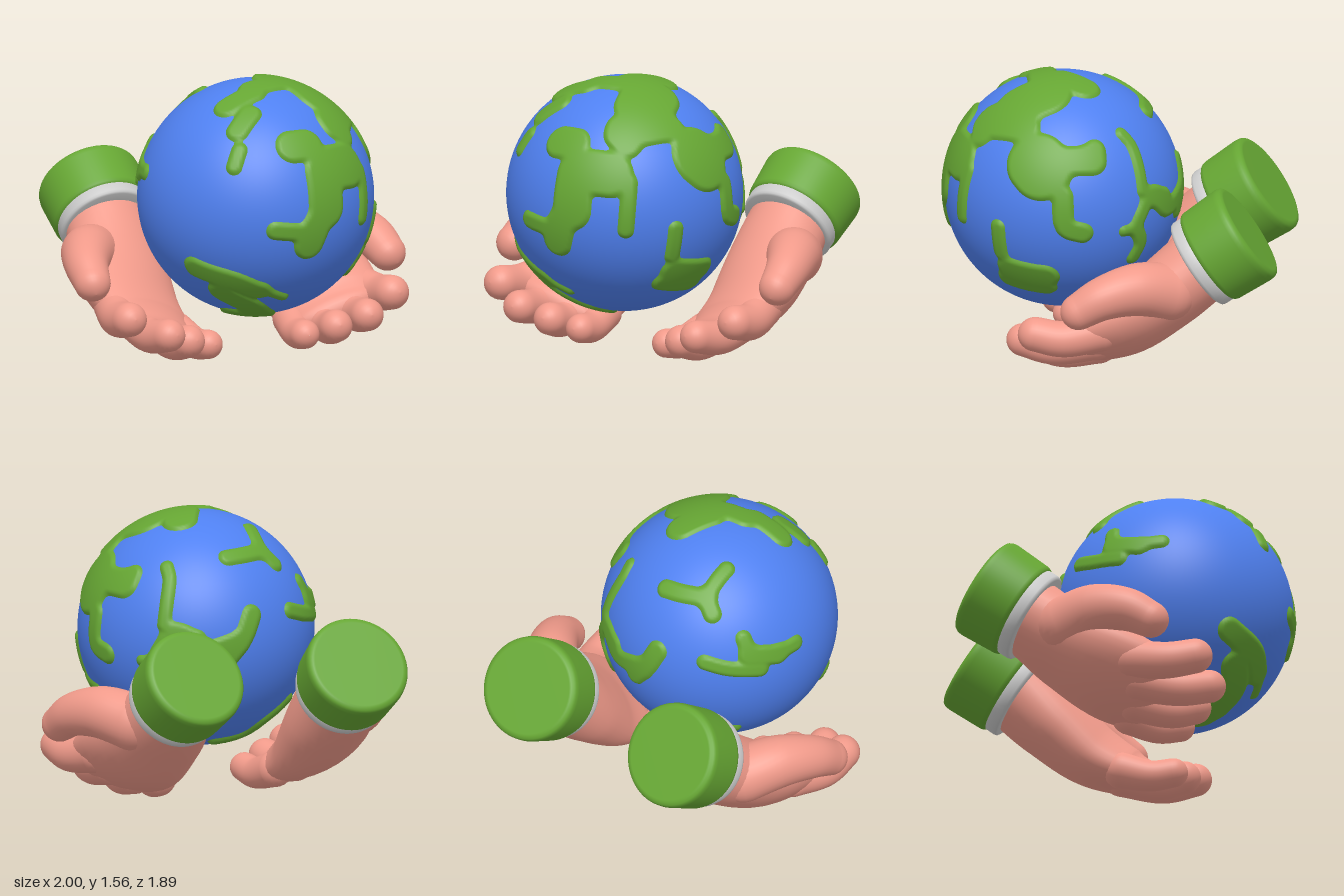
import * as THREE from 'three';
import { mergeVertices } from 'three/addons/utils/BufferGeometryUtils.js';

const mat = (color) => new THREE.MeshStandardMaterial({ color });
const GREEN = mat(0x66a633), BLUE = mat(0x4f80f0), SKIN = mat(0xf09a8a), GREY = mat(0xcccccc);

function add(parent, name, geometry, material) {
  const mesh = new THREE.Mesh(geometry, material);
  mesh.name = name;
  parent.add(mesh);
}

// Brush strokes laid on the unit sphere around one direction.
// Each stroke is [halfWidth, x, y, x, y, ...] in hundredths of the globe radius.
function brush(azimuth, elevation, strokes) {
  const a = THREE.MathUtils.degToRad(azimuth), e = THREE.MathUtils.degToRad(elevation);
  const out = new THREE.Vector3(Math.sin(a) * Math.cos(e), Math.sin(e), Math.cos(a) * Math.cos(e));
  const right = new THREE.Vector3(Math.cos(a), 0, -Math.sin(a));
  const up = out.clone().cross(right);
  return strokes.map(([width, ...flat]) => {
    const pts = [];
    for (let i = 0; i < flat.length; i += 2) {
      const x = flat[i] / 100, y = flat[i + 1] / 100, z = Math.sqrt(Math.max(0, 1 - x * x - y * y));
      pts.push(new THREE.Vector3().addScaledVector(right, x).addScaledVector(up, y).addScaledVector(out, z));
    }
    const line = new THREE.CatmullRomCurve3(pts).getPoints((pts.length - 1) * 4);
    return { width: width / 100, line: line.map((p) => p.normalize()) };
  });
}

// Depth inside a stroke: positive on land, negative at sea
function strokeDepth(p, { width, line }) {
  let best = 4;
  for (let i = 0; i < line.length - 1; i++) {
    const a = line[i], b = line[i + 1];
    const ex = b.x - a.x, ey = b.y - a.y, ez = b.z - a.z;
    const dx = p.x - a.x, dy = p.y - a.y, dz = p.z - a.z;
    const t = THREE.MathUtils.clamp((dx * ex + dy * ey + dz * ez) / (ex * ex + ey * ey + ez * ez), 0, 1);
    best = Math.min(best, (dx - t * ex) ** 2 + (dy - t * ey) ** 2 + (dz - t * ez) ** 2);
  }
  return width - Math.sqrt(best);
}

// Union that rounds the inner corners where strokes meet
function blend(a, b) {
  const k = 0.05, h = Math.max(k - Math.abs(a - b), 0) / k;
  return Math.max(a, b) + (h * h * k) / 4;
}

// Raised land: a sphere pushed out under the strokes, with the sunken faces removed
function landGeometry() {
  const front = brush(0, 0, [
    [7, -56, 43, -49, 56], [10, -45, 70, -30, 82], [15, -6, 58, 8, 58], [18, 18, 6, 18, 36],
    [14, 2, -24, 8, -8], [8, -29, -10, -5, -13], [20, 30, 38, 46, 37], [7, 61, -10, 61, 30], [13, 42, 66, 50, 60],
    [11, -78, -47, -52, -57, -32, -66], [5, -30, -64, -8, -74], [13, -55, -69, -32, -82, -14, -93],
  ]);
  const side = brush(90, 0, [
    [14, -56, 67, -25, 70], [27, -8, 42, -12, 46], [13, 10, 48, 34, 48], [9, 28, 50, 36, 56],
    [9, 11, 20, 14, -6, 28, -12],
    [7, -45, -11, -43, -35], [13, -35, -50, -6, -54], [10, -38, -61, -6, -66],
    [6, 56, 64, 64, 55, 72, 35, 75, 18], [9, 81, 12, 91, 6], [7, 77, 5, 71, -12, 73, -28, 67, -41], [5, 61, -14, 70, -13],
  ]);
  const top = brush(0, 90, [
    [12, -42, -30, -18, -28], [13, -12, -20, 10, -16], [15, 12, -2, 24, 20], [26, 38, -14, 44, -30], [16, 42, -56, 55, -28],
  ]);
  const back = brush(213, 26, [
    [8, -41, 38, -28, 36, -6, 34], [8, -6, 34, 0, 21], [7, -4, 38, 4, 50, 10, 57],
    [7, 27, 1, 32, -12], [9, 32, -14, 56, -14], [7, 56, -13, 70, -6], [7, -5, -21, 15, -26, 42, -27],
    [9, -46, -15, -55, -30, -66, -42], [9, -60, -32, -82, -28, -90, -10],
  ]);
  const under = [...brush(147, -26, [[7, 22, -67, 45, -67, 62, -55, 80, -45]]), ...brush(0, -90, [[16, -25, 17, -10, 22]])];
  const strokes = [...front, ...side, ...top, ...back, ...under];

  let geo = new THREE.SphereGeometry(1, 300, 170);
  geo.deleteAttribute('uv');
  geo.deleteAttribute('normal');
  geo = mergeVertices(geo, 1e-5);
  const pos = geo.attributes.position, p = new THREE.Vector3(), depth = [];
  for (let i = 0; i < pos.count; i++) {
    p.fromBufferAttribute(pos, i).normalize();
    const d = strokes.reduce((sum, s) => blend(sum, strokeDepth(p, s)), -4);
    depth.push(d);
    p.multiplyScalar(0.631 + 0.031 * THREE.MathUtils.smoothstep(d, -0.035, 0.035));
    pos.setXYZ(i, p.x, p.y, p.z);
  }
  geo.computeVertexNormals();
  const old = geo.index.array, kept = [];
  for (let i = 0; i < old.length; i += 3) {
    const tri = [old[i], old[i + 1], old[i + 2]];
    if (tri.some((v) => depth[v] > -0.01)) kept.push(...tri);
  }
  geo.setIndex(kept);
  return geo;
}

// Smooth round-ended loft through stations [x, y, z, halfWidth, halfThickness, tilt]
function loft(stations, side) {
  const path = new THREE.CatmullRomCurve3(stations.map((s) => new THREE.Vector3(s[0] * side, s[1], s[2])));
  const sizes = new THREE.CatmullRomCurve3(stations.map((s) => new THREE.Vector3(s[3], s[4] ?? s[3], s[5] ?? 0)));
  const steps = 24, caps = 7, around = 32, rings = [];
  const ring = (t, angle, sign) => rings.push({ t, push: sign * Math.sin(angle), scale: Math.max(0.002, Math.cos(angle)) });
  for (let k = caps; k > 0; k--) ring(0, (k / caps) * Math.PI / 2, -1);
  for (let i = 0; i <= steps; i++) ring(i / steps, 0, 1);
  for (let k = 1; k <= caps; k++) ring(1, (k / caps) * Math.PI / 2, 1);
  const verts = [], index = [];
  rings.forEach(({ t, push, scale }, i) => {
    const T = path.getTangent(t), size = sizes.getPoint(t);
    const w = new THREE.Vector3(Math.cos(size.z), side * Math.sin(size.z), 0);
    w.addScaledVector(T, -w.dot(T)).normalize();
    const n = T.clone().cross(w);
    const c = path.getPoint(t).addScaledVector(T, push * Math.min(size.x, size.y));
    for (let j = 0; j < around; j++) {
      const q = (j / around) * Math.PI * 2;
      const v = c.clone().addScaledVector(w, Math.cos(q) * size.x * scale).addScaledVector(n, Math.sin(q) * size.y * scale);
      verts.push(v.x, v.y, v.z);
      if (i === rings.length - 1) continue;
      const a = i * around + j, b = i * around + ((j + 1) % around);
      index.push(a, b, a + around, b, b + around, a + around);
    }
  });
  const geo = new THREE.BufferGeometry();
  geo.setAttribute('position', new THREE.Float32BufferAttribute(verts, 3));
  geo.setIndex(index);
  geo.computeVertexNormals();
  return geo;
}

const lathe = (points) => new THREE.LatheGeometry(points.map(([r, y]) => new THREE.Vector2(r, y)), 64);

const HAND = {
  palm: [[0.5, 0.64, -0.53, 0.235, 0.21, 0.2], [0.52, 0.47, -0.34, 0.28, 0.2, 0.4], [0.555, 0.31, -0.12, 0.31, 0.175, 0.5],
    [0.55, 0.215, 0.08, 0.3, 0.13, 0.45], [0.54, 0.19, 0.17, 0.25, 0.09, 0.4]],
  thumb: [[0.66, 0.52, -0.36, 0.16], [0.78, 0.56, -0.2, 0.145], [0.87, 0.53, -0.03, 0.12], [0.9, 0.46, 0.1, 0.1]],
  indexFinger: [[0.72, 0.3, 0, 0.11], [0.79, 0.27, 0.2, 0.1], [0.8, 0.295, 0.35, 0.095]],
  middleFinger: [[0.62, 0.22, 0.04, 0.11], [0.63, 0.175, 0.27, 0.095], [0.605, 0.205, 0.44, 0.09]],
  ringFinger: [[0.48, 0.16, 0.04, 0.11], [0.47, 0.115, 0.24, 0.095], [0.45, 0.145, 0.37, 0.09]],
  littleFinger: [[0.35, 0.13, 0.02, 0.1], [0.31, 0.085, 0.18, 0.085], [0.295, 0.1, 0.3, 0.08]],
};

function createHand(side) {
  const hand = new THREE.Group();
  hand.name = side > 0 ? 'leftHand' : 'rightHand';
  for (const [name, stations] of Object.entries(HAND)) add(hand, name, loft(stations, side), SKIN);

  // sleeve runs along the forearm
  const sleeve = new THREE.Group();
  sleeve.name = 'sleeve';
  sleeve.position.set(0.485 * side, 0.83, -0.79);
  sleeve.quaternion.setFromUnitVectors(new THREE.Vector3(0, 1, 0), new THREE.Vector3(0.05 * side, -0.57, 0.82).normalize());
  add(sleeve, 'cuff', lathe([[0, 0], [0.25, 0], [0.262, 0.002], [0.277, 0.01], [0.285, 0.024], [0.288, 0.05],
    [0.277, 0.25], [0.272, 0.268], [0.26, 0.279], [0.24, 0.282], [0, 0.282]]), GREEN);
  add(sleeve, 'shirtCuff', lathe([[0.24, 0.27], [0.262, 0.275], [0.262, 0.33], [0.258, 0.343], [0.247, 0.35], [0.2, 0.352]]), GREY);
  hand.add(sleeve);
  return hand;
}

export function createModel() {
  const model = new THREE.Group();
  model.name = 'handsHoldingGlobe';
  const globe = new THREE.Group();
  globe.name = 'globe';
  globe.position.set(0, 0.9, 0.29);
  add(globe, 'ocean', new THREE.SphereGeometry(0.646, 96, 64), BLUE);
  add(globe, 'land', landGeometry(), GREEN);
  model.add(globe, createHand(1), createHand(-1));
  return model;
}
